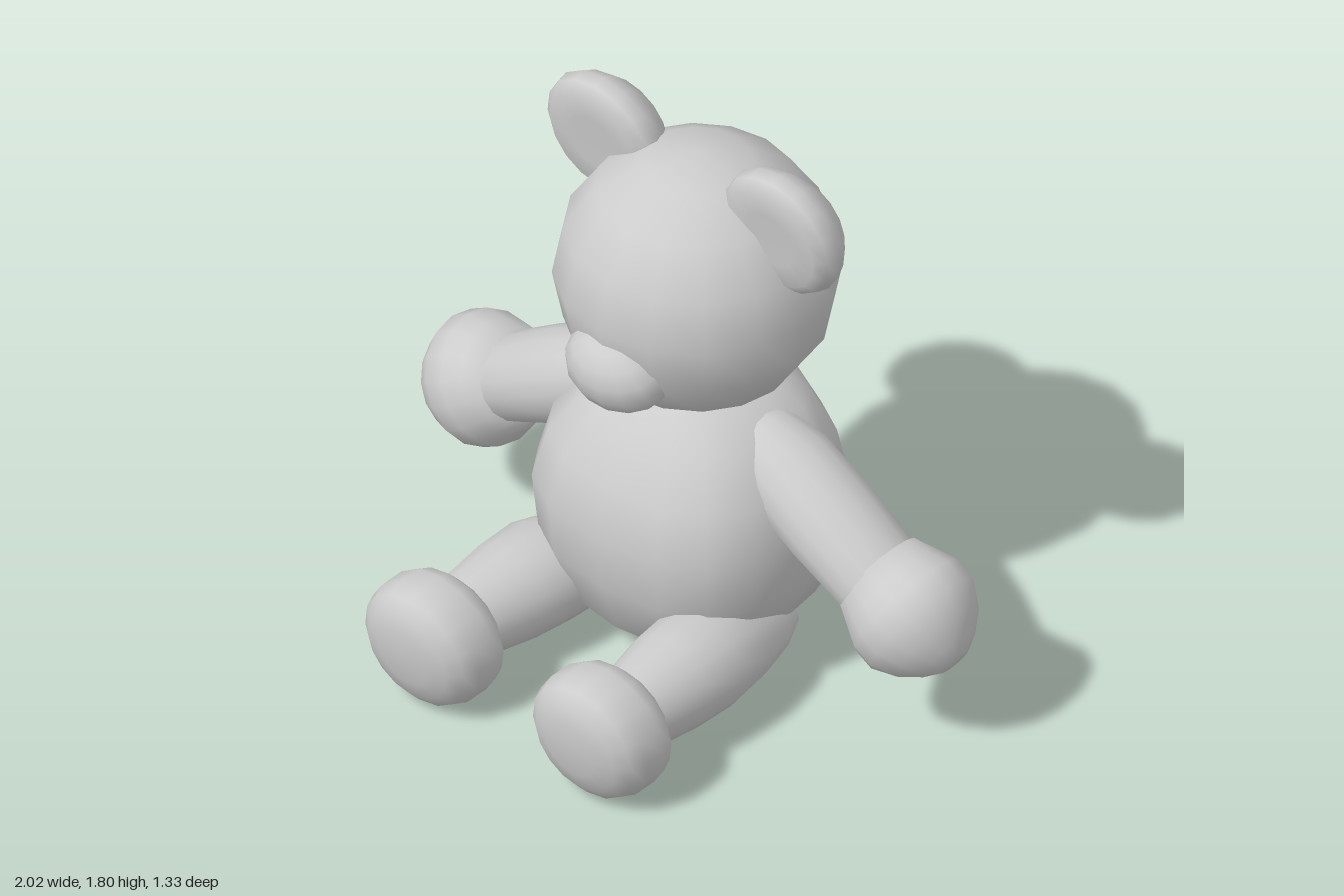
import * as THREE from 'three';
import { mergeVertices } from 'three/addons/utils/BufferGeometryUtils.js';

// Closed smooth skin over rings [y, rx, rz, cx, cz], from low y to high y.
// A power below 1 makes the rings squarer than an ellipse.
function loft(rings, power = 1) {
  const sides = 16, pos = [], index = [];
  const bulge = (v) => Math.sign(v) * Math.abs(v) ** power;
  rings.forEach(([y, rx, rz = rx, cx = 0, cz = 0], i) => {
    for (let j = 0; j < sides; j++) {
      const a = (j / sides) * Math.PI * 2;
      pos.push(cx + rx * bulge(Math.cos(a)), y, cz + rz * bulge(Math.sin(a)));
      if (i === rings.length - 1) continue;
      const p = i * sides + j, q = i * sides + ((j + 1) % sides);
      index.push(p, p + sides, q, q, p + sides, q + sides);
    }
  });
  let geo = new THREE.BufferGeometry();
  geo.setAttribute('position', new THREE.Float32BufferAttribute(pos, 3));
  geo.setIndex(index);
  geo = mergeVertices(geo, 1e-5);
  geo.computeVertexNormals();
  return geo;
}

// Lean a shape so its top moves forward
const lean = (geo, k) => geo.applyMatrix4(new THREE.Matrix4().makeShear(0, 0, 0, k, 0, 0));

export function createModel() {
  const plush = new THREE.MeshStandardMaterial({ color: 0xcccccc });
  plush.name = 'light grey plush';
  const model = new THREE.Group();
  model.name = 'teddyBear';

  const add = (name, geo, x = 0, y = 0, z = 0) => {
    const mesh = new THREE.Mesh(geo, plush);
    mesh.name = name;
    mesh.position.set(x, y, z);
    model.add(mesh);
    return mesh;
  };

  // Plump, slightly square body, heavier at the lower back
  add('body', loft([
    [0.043, 0, 0, 0, -0.23],
    [0.068, 0.18, 0.2, 0, -0.24],
    [0.175, 0.335, 0.345, 0, -0.24],
    [0.36, 0.432, 0.403, 0, -0.233],
    [0.54, 0.445, 0.403, 0, -0.217],
    [0.7, 0.405, 0.367, 0, -0.223],
    [0.84, 0.31, 0.29, 0, -0.24],
    [0.92, 0.19, 0.2, 0, -0.24],
    [0.95, 0, 0, 0, -0.24],
  ], 0.8));

  // Head and snout
  add('head', new THREE.SphereGeometry(0.417, 16, 8), 0, 1.275, -0.245);
  const snout = add('snout', new THREE.SphereGeometry(1, 14, 8), 0, 1.115, 0.093);
  snout.scale.set(0.172, 0.135, 0.13);
  snout.rotation.x = 0.4;

  for (const [side, s] of [['left', 1], ['right', -1]]) {
    // Ear: domed behind, rounded rim, nearly flat in front
    const ear = loft([
      [-0.125, 0], [-0.115, 0.085], [-0.085, 0.145], [-0.04, 0.188], [0.005, 0.21],
      [0.045, 0.2], [0.072, 0.165], [0.073, 0.09], [0.068, 0],
    ]).rotateX(Math.PI / 2);
    add(side + 'Ear', lean(ear, 0.12), s * 0.34, 1.59, -0.25);

    // Arm and hand, laid out along the arm with the wrist at the origin
    const tilt = (-s * Math.PI * 2) / 3;
    const arm = loft([
      [-0.64, 0], [-0.61, 0.055], [-0.53, 0.105, 0.12], [-0.4, 0.143, 0.15],
      [-0.2, 0.143, 0.153], [0, 0.128, 0.148], [0.08, 0.11],
    ]);
    add(side + 'Arm', arm.rotateZ(tilt), s * 0.69, 0.52, -0.25);
    const hand = loft([
      [-0.04, 0], [-0.01, 0.138, 0.145], [0.06, 0.172], [0.12, 0.2, 0.195],
      [0.19, 0.2, 0.195], [0.26, 0.155], [0.31, 0.1], [0.338, 0.05], [0.342, 0],
    ]);
    add(side + 'Hand', hand.rotateZ(tilt), s * 0.69, 0.52, -0.256);

    // Leg, tapering into the hip
    const leg = loft([
      [-0.36, 0, 0, s * 0.25, -0.12],
      [-0.33, 0.06, 0.045, s * 0.255, -0.12],
      [-0.22, 0.115, 0.097, s * 0.268, -0.155],
      [-0.06, 0.155, 0.138, s * 0.29, -0.192],
      [0.08, 0.168, 0.158, s * 0.305, -0.207],
      [0.22, 0.158, 0.152, s * 0.312, -0.207],
      [0.4, 0.127, 0.128, s * 0.322, -0.205],
      [0.5, 0.1, 0.1, s * 0.325, -0.205],
    ]);
    add(side + 'Leg', leg.rotateX(Math.PI / 2));

    // Foot: thick round pad
    const foot = loft([
      [-0.14, 0], [-0.135, 0.09], [-0.118, 0.15], [-0.085, 0.19], [-0.04, 0.208],
      [0.04, 0.208], [0.085, 0.19], [0.118, 0.15], [0.135, 0.09], [0.14, 0],
    ]).rotateX(Math.PI / 2);
    add(side + 'Foot', lean(foot, 0.11), s * 0.323, 0.211, 0.52);
  }
  return model;
}
